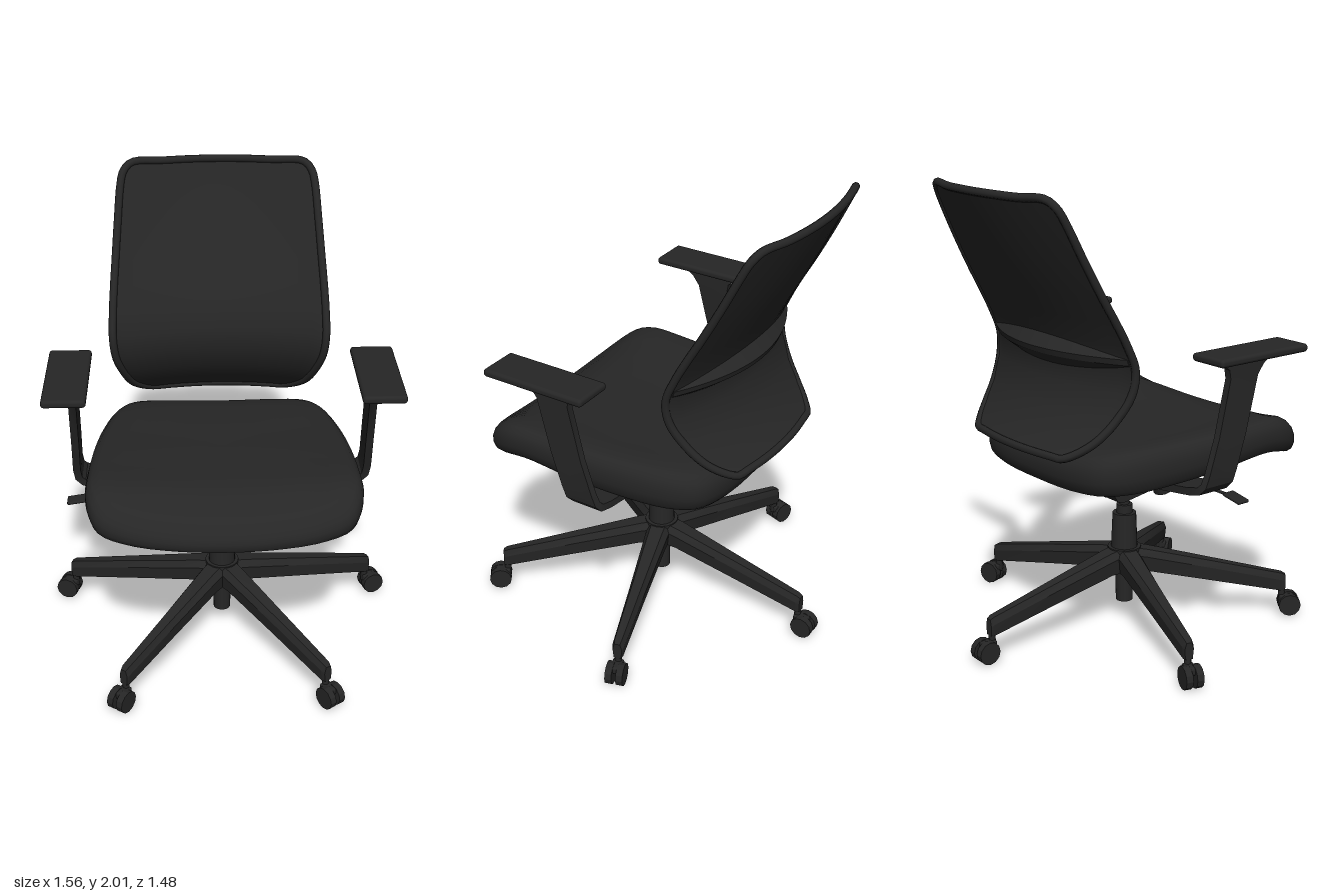
import * as THREE from 'three';
import { toCreasedNormals } from 'three/addons/utils/BufferGeometryUtils.js';
import { RoundedBoxGeometry } from 'three/addons/geometries/RoundedBoxGeometry.js';

const V = (x, y, z) => new THREE.Vector3(x, y, z);
const HUB_Z = 0.065;

// Smooth lookup through [t, value] pairs with rising t
function smooth(pairs) {
  const c = new THREE.CubicInterpolant(pairs.map(p => p[0]), pairs.map(p => p[1]), 1);
  return t => c.evaluate(t)[0];
}

// Skin over closed loops of points, turned outwards by its signed volume
function loft(loops, crease = 0.6, caps = true) {
  const n = loops[0].length, tris = [];
  for (let i = 0; i + 1 < loops.length; i++) {
    for (let j = 0; j < n; j++) {
      const k = (j + 1) % n, p = loops[i], q = loops[i + 1];
      tris.push([p[j], p[k], q[j]], [p[k], q[k], q[j]]);
    }
  }
  const last = loops[loops.length - 1];
  for (let j = 1; caps && j + 1 < n; j++) {
    tris.push([loops[0][0], loops[0][j + 1], loops[0][j]], [last[0], last[j], last[j + 1]]);
  }
  const volume = tris.reduce((s, [a, b, c]) => s + a.dot(V().crossVectors(b, c)), 0);
  if (volume < 0) tris.forEach(t => t.reverse());
  const g = new THREE.BufferGeometry().setFromPoints(tris.flat());
  return toCreasedNormals(g, crease);
}

// Backrest surface: half width and side-edge depth by height, bowed back in the middle
const backWidth = smooth([[0.94, 0.31], [0.97, 0.365], [1.02, 0.41], [1.1, 0.445], [1.2, 0.475], [1.3, 0.485],
  [1.45, 0.48], [1.7, 0.46], [1.9, 0.442], [1.95, 0.43], [1.98, 0.405], [1.99, 0.375]]);
const backDepth = smooth([[0.93, -0.46], [1.0, -0.385], [1.1, -0.31], [1.2, -0.268], [1.3, -0.262], [1.45, -0.325],
  [1.6, -0.405], [1.8, -0.505], [2.0, -0.595]]);
const backPoint = (x, y, off = 0) => V(x, y, backDepth(y) - 0.085 * (1 - (x / 0.48) ** 2) - off);
const ROWS = [0.94, 0.97, 1.02, 1.1, 1.2, 1.3, 1.4, 1.5, 1.6, 1.75, 1.9, 1.95, 1.98, 1.99];

function backPanel() {
  const steps = [];
  for (let i = 0; i <= 16; i++) steps.push(i / 8 - 1);
  return loft(ROWS.map(y => {
    const w = backWidth(y) - 0.012;
    return [...steps.map(s => backPoint(s * w, y, -0.004)),
      ...steps.slice().reverse().map(s => backPoint(s * w, y, 0.008))];
  }), 0.9, false);
}

function backFrame() {
  const side = s => ROWS.map(y => backPoint(s * (backWidth(y) - 0.012), y));
  const across = (y, s) => [-0.25, -0.12, 0, 0.12, 0.25].map(x => backPoint(x * s, y));
  const pts = [...side(1), ...across(1.985, -1), ...side(-1).reverse(), ...across(0.94, 1)];
  return new THREE.TubeGeometry(new THREE.CatmullRomCurve3(pts, true), 160, 0.017, 8, true);
}

function lumbarBand() {
  const loops = [];
  for (let i = 0; i <= 20; i++) {
    const x = (i / 10 - 1) * 0.46, f = 1 - (x / 0.47) ** 2;
    const h = 0.015 + 0.055 * f, d = 0.012 + 0.062 * f;
    loops.push([backPoint(x, 1.33 + h, 0.004), backPoint(x, 1.345, d), backPoint(x, 1.32, d), backPoint(x, 1.33 - h, 0.004)]);
  }
  return loft(loops, 0.4);
}

// Cushion: rings of the plan outline, rolled over between a lower and an upper surface
function seatCushion() {
  const half = [[0, -0.43], [0.25, -0.425], [0.4, -0.385], [0.475, -0.28], [0.525, -0.1], [0.555, 0.1],
    [0.57, 0.35], [0.565, 0.5], [0.52, 0.595], [0.4, 0.642], [0.2, 0.665], [0, 0.67]];
  const mirrored = half.slice(1, -1).reverse().map(([x, z]) => [-x, z]);
  const outline = new THREE.CatmullRomCurve3([...half, ...mirrored].map(([x, z]) => V(x, 0, z)), true).getPoints(72).slice(0, -1);
  const lower = smooth([[-0.43, 0.795], [-0.3, 0.79], [0, 0.81], [0.2, 0.83], [0.42, 0.85], [0.55, 0.825], [0.67, 0.8]]);
  const upper = smooth([[-0.43, 0.95], [-0.3, 0.97], [0, 0.985], [0.3, 0.997], [0.45, 1.0], [0.53, 0.985], [0.6, 0.94], [0.67, 0.885]]);
  const rings = [[0.01, 0.12], [0.5, 0.12], [0.86, 0.12], [0.9, 0], [0.96, 0.02], [0.985, 0.12], [1, 0.35], [1, 0.6],
    [0.985, 0.8], [0.95, 0.94], [0.9, 1], [0.75, 1], [0.55, 1], [0.35, 1], [0.15, 1], [0.01, 1]];
  return loft(rings.map(([s, h]) => outline.map(p => {
    const x = p.x * s, z = 0.12 + (p.z - 0.12) * s;
    const sag = 0.035 * (1 - (x / 0.57) ** 2);
    return V(x, THREE.MathUtils.lerp(lower(z), upper(z), h) - sag, z);
  })), 0.7);
}

// Arm strip: [x, y, centre z, width] from the pad down and under the seat
function armStrip(side) {
  const path = [[0.622, 1.325, 0.18, 0.32], [0.622, 1.305, 0.18, 0.26], [0.622, 1.28, 0.182, 0.19], [0.622, 1.24, 0.17, 0.152],
    [0.624, 1.0, 0.11, 0.148], [0.628, 0.86, 0.06, 0.148], [0.622, 0.81, 0.045, 0.148], [0.6, 0.785, 0.038, 0.148],
    [0.54, 0.77, 0.035, 0.148], [0.38, 0.748, 0.035, 0.148], [0.15, 0.73, 0.035, 0.148]];
  return loft(path.map(([x, y, z, w], i) => {
    const a = path[Math.max(i - 1, 0)], b = path[Math.min(i + 1, path.length - 1)];
    const len = Math.hypot(b[0] - a[0], b[1] - a[1]);
    const nx = -(b[1] - a[1]) / len * 0.016, ny = (b[0] - a[0]) / len * 0.016;
    return [[1, 1], [1, -1], [-1, -1], [-1, 1]].map(([s, t]) => V(side * (x + s * nx), y + s * ny, z + t * w / 2));
  }), 0.5);
}

// Side profile in (z, y) extruded across x
function profileBlock(pts, width) {
  const shape = new THREE.Shape(pts.map(([z, y]) => new THREE.Vector2(z, y)));
  return new THREE.ExtrudeGeometry(shape, { depth: width, bevelEnabled: false })
    .rotateY(-Math.PI / 2).translate(width / 2, 0, 0);
}

export function createModel() {
  const model = new THREE.Group();
  const material = new THREE.MeshStandardMaterial({ color: 0x262626 });
  const add = (name, geometry, parent = model, x = 0, y = 0, z = 0) => {
    const mesh = new THREE.Mesh(geometry, material);
    mesh.name = name;
    mesh.position.set(x, y, z);
    parent.add(mesh);
    return mesh;
  };
  const cyl = (top, bottom, y0, y1, sides = 20) =>
    new THREE.CylinderGeometry(top, bottom, y1 - y0, sides).translate(0, (y0 + y1) / 2, 0);

  add('seat', seatCushion());
  add('backPanel', backPanel());
  add('backFrame', backFrame());
  add('lumbarSupport', lumbarBand());

  // Arms
  for (const side of [1, -1]) {
    const name = side > 0 ? 'left' : 'right';
    add(name + 'Arm', armStrip(side));
    add(name + 'ArmPad', new RoundedBoxGeometry(0.18, 0.034, 0.48, 3, 0.014), model, side * 0.64, 1.338, 0.2);
  }

  // Tilt mechanism under the seat
  add('mechanism', profileBlock([[0.44, 0.81], [0.42, 0.77], [0.37, 0.74], [0.2, 0.675], [-0.09, 0.63], [-0.12, 0.64],
    [-0.15, 0.69], [-0.26, 0.75], [-0.27, 0.81]], 0.2));
  add('mechanismHousing', profileBlock([[0.12, 0.8], [0.1, 0.68], [0.06, 0.655], [-0.09, 0.632], [-0.12, 0.642],
    [-0.15, 0.69], [-0.18, 0.8]], 0.37));
  const knob = add('tensionKnob', cyl(0.034, 0.045, -0.08, 0.08, 12), model, 0, 0.635, 0.27);
  knob.rotation.x = -0.3;
  const rod = add('leverRod', cyl(0.007, 0.007, -0.22, 0.22, 8), model, -0.38, 0.725, 0.15);
  rod.rotation.z = Math.PI / 2;
  const paddle = add('leverPaddle', new RoundedBoxGeometry(0.1, 0.014, 0.06, 2, 0.006), model, -0.625, 0.725, 0.15);
  paddle.rotation.z = 0.16;

  // Column
  const column = new THREE.Group();
  column.name = 'column';
  column.position.z = HUB_Z;
  model.add(column);
  add('columnFoot', cyl(0.042, 0.038, 0.085, 0.34), column);
  add('hub', cyl(0.075, 0.07, 0.235, 0.345), column);
  add('columnSleeve', cyl(0.053, 0.06, 0.33, 0.505), column);
  add('columnCollar', cyl(0.036, 0.036, 0.5, 0.545), column);
  add('piston', cyl(0.022, 0.022, 0.54, 0.7), column);

  // Five-legged base: [radius, half width, bottom, top] down each leg
  const legSections = [[0.02, 0.055, 0.235, 0.347], [0.1, 0.052, 0.235, 0.335], [0.4, 0.038, 0.178, 0.27], [0.72, 0.026, 0.117, 0.2], [0.737, 0.02, 0.117, 0.19]];
  const legGeometry = loft(legSections.map(([r, w, lo, hi]) =>
    [V(w * 0.8, lo, r), V(w, hi - 0.03, r), V(w * 0.6, hi, r), V(-w * 0.6, hi, r), V(-w, hi - 0.03, r), V(-w * 0.8, lo, r)]), 0.4);
  const wheel = toCreasedNormals(new THREE.CylinderGeometry(0.05, 0.05, 0.03, 12).rotateZ(Math.PI / 2), 0.4);
  for (let i = 0; i < 5; i++) {
    const leg = new THREE.Group();
    leg.name = 'baseLeg' + (i + 1);
    leg.position.z = HUB_Z;
    leg.rotation.y = Math.PI + i * Math.PI * 2 / 5;
    model.add(leg);
    add('legBeam', legGeometry, leg);
    add('casterStem', cyl(0.015, 0.015, 0.06, 0.14, 10), leg, 0, 0, 0.722);
    add('casterHood', new RoundedBoxGeometry(0.05, 0.035, 0.07, 2, 0.01), leg, 0, 0.078, 0.745);
    for (const s of [-1, 1]) add('casterWheel', wheel, leg, s * 0.024, 0.05, 0.757);
  }
  return model;
}
